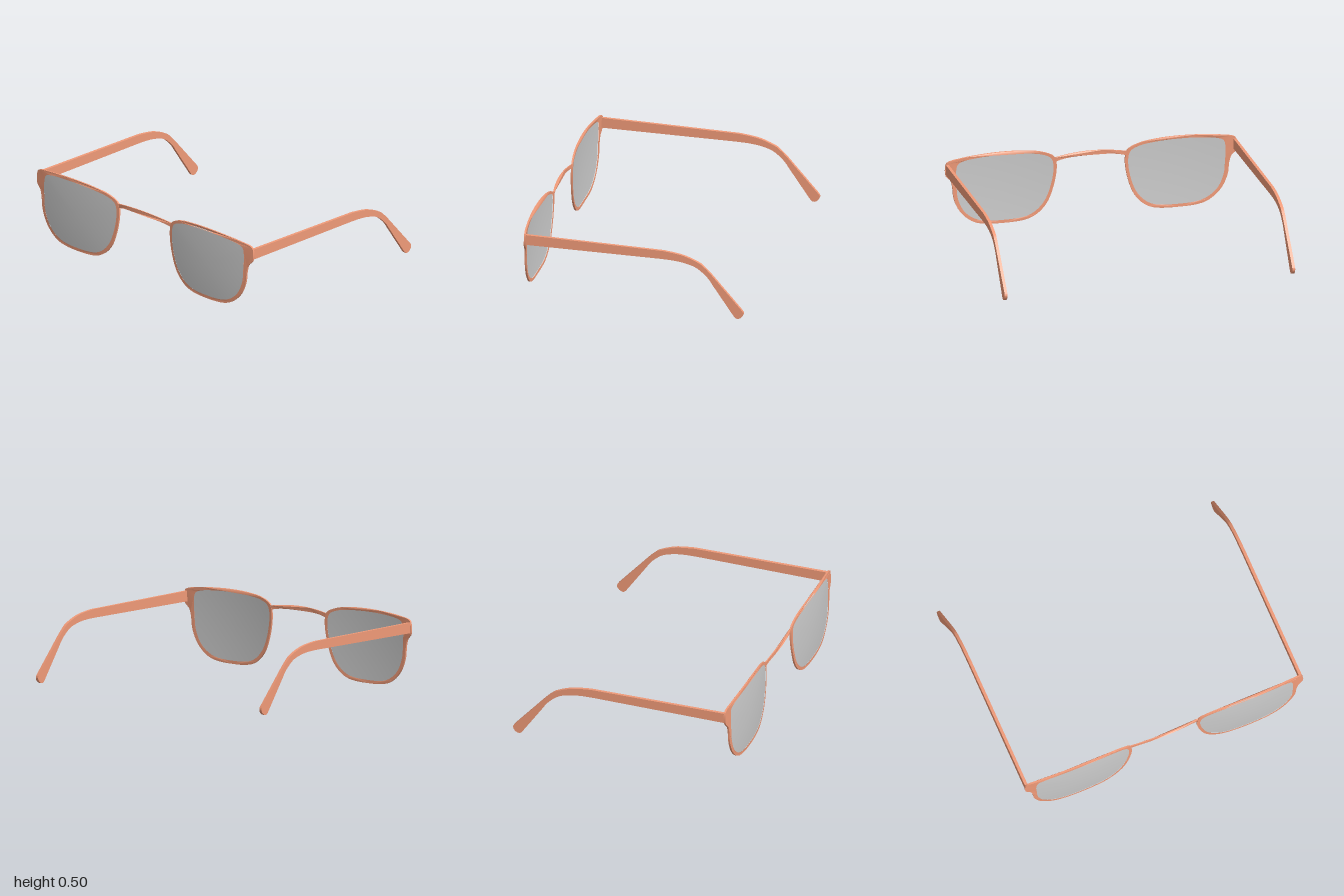
import * as THREE from 'three';
import { toCreasedNormals } from 'three/addons/utils/BufferGeometryUtils.js';

const frameMat = new THREE.MeshStandardMaterial({ color: 0xf09a78 });
const lensMat = new THREE.MeshStandardMaterial({ color: 0xcccccc });

// Control points of the left rim: outer edge and lens opening
const OUTER = [[0.235, 0.38], [0.25, 0.44], [0.33, 0.478], [0.46, 0.496], [0.6, 0.501], [0.75, 0.497],
  [0.89, 0.486], [0.982, 0.471], [0.998, 0.455], [0.999, 0.375], [0.965, 0.335], [0.952, 0.29], [0.94, 0.2],
  [0.89, 0.1], [0.79, 0.023], [0.6, 0.001], [0.41, 0.023], [0.31, 0.105], [0.253, 0.245]];
const INNER = [[0.257, 0.38], [0.275, 0.433], [0.34, 0.462], [0.46, 0.477], [0.6, 0.482], [0.75, 0.478],
  [0.865, 0.466], [0.912, 0.448], [0.926, 0.4], [0.923, 0.3], [0.912, 0.2], [0.865, 0.105], [0.77, 0.04],
  [0.6, 0.022], [0.42, 0.043], [0.327, 0.12], [0.274, 0.245]];

const CX = 0.6, CY = 0.25;
const lensBow = (x, y) => 0.765 - 0.155 * (Math.abs(x) - CX) ** 2 - 0.1 * (y - CY) ** 2;
const bridgeBow = (x) => 0.757 - 0.3 * x * x;

// Smooth closed outline, mirrored for the other side
function outline(points, side, n = 120) {
  const curve = new THREE.CatmullRomCurve3(points.map(([x, y]) => new THREE.Vector3(x, y, 0)), true);
  const pts = curve.getPoints(n).slice(0, n).map((p) => new THREE.Vector2(p.x * side, p.y));
  return side < 0 ? pts.reverse() : pts;
}

// Extrude a flat shape and bend it so that its front face follows bow(x, y)
function bentPlate(shape, depth, bow) {
  const geo = new THREE.ExtrudeGeometry(shape, { depth, bevelEnabled: false, curveSegments: 16 });
  const pos = geo.attributes.position;
  for (let i = 0; i < pos.count; i++) {
    pos.setZ(i, pos.getZ(i) - depth + bow(pos.getX(i), pos.getY(i)));
  }
  return toCreasedNormals(geo, 0.6);
}

function add(group, name, geometry, material) {
  const mesh = new THREE.Mesh(geometry, material);
  mesh.name = name;
  group.add(mesh);
}

function rimGeometry(side) {
  const shape = new THREE.Shape(outline(OUTER, side));
  shape.holes.push(new THREE.Path(outline(INNER, side)));
  return bentPlate(shape, 0.012, lensBow);
}

// Domed lens: concentric rings out over the front, then back in behind
function lensGeometry(side) {
  const edge = outline(INNER, side, 96), n = edge.length, steps = 8, cx = CX * side;
  const positions = [], index = [];
  for (let r = 0; r <= 2 * steps + 1; r++) {
    const front = r <= steps;
    const s = 1.01 * (front ? r : 2 * steps + 1 - r) / steps;
    for (const p of edge) {
      const x = cx + (p.x - cx) * s, y = CY + (p.y - CY) * s;
      positions.push(x, y, lensBow(x, y) + (front ? 0.003 * (1 - s * s) - 0.003 : -0.008));
    }
  }
  for (let r = 0; r < 2 * steps + 1; r++) {
    for (let i = 0; i < n; i++) {
      const a = r * n + i, b = r * n + (i + 1) % n, c = a + n, d = b + n;
      // The outline runs clockwise, seen from the front
      index.push(a, b, c, b, d, c);
    }
  }
  const geo = new THREE.BufferGeometry();
  geo.setAttribute('position', new THREE.Float32BufferAttribute(positions, 3));
  geo.setIndex(index);
  return toCreasedNormals(geo, 0.6);
}

// Temple arm drawn in profile (u runs backward), then turned to lie along z
function templeGeometry(side) {
  const v = (list) => list.map(([u, y]) => new THREE.Vector2(u, y));
  const shape = new THREE.Shape();
  shape.moveTo(-0.735, 0.382);
  shape.lineTo(0.2, 0.386);
  shape.splineThru(v([[0.29, 0.383], [0.37, 0.372], [0.45, 0.345], [0.52, 0.287], [0.56, 0.232]]));
  shape.lineTo(0.7, 0.03);
  shape.splineThru(v([[0.713, 0.015], [0.73, 0.01], [0.75, 0.018], [0.765, 0.036], [0.768, 0.054], [0.76, 0.07]]));
  shape.lineTo(0.6, 0.25);
  shape.splineThru(v([[0.553, 0.303], [0.507, 0.35], [0.46, 0.385], [0.35, 0.426], [0.22, 0.444]]));
  shape.lineTo(-0.735, 0.453);
  const geo = new THREE.ExtrudeGeometry(shape, { depth: 0.02, bevelEnabled: false, curveSegments: 6 });
  geo.rotateY(Math.PI / 2);
  geo.translate(side > 0 ? 0.979 : -0.999, 0, 0);
  return toCreasedNormals(geo, 0.6);
}

// Slim arched bridge between the rims
function bridgeGeometry() {
  const n = 24, half = 0.246, top = [], bottom = [];
  for (let i = 0; i <= n; i++) {
    const t = (i / n) * 2 - 1, x = t * half;
    top.push(new THREE.Vector2(x, 0.453 - 0.02 * t * t));
    bottom.push(new THREE.Vector2(x, 0.423 - 0.02 * t ** 4));
  }
  return bentPlate(new THREE.Shape([...bottom, ...top.reverse()]), 0.008, bridgeBow);
}

export function createModel() {
  const glasses = new THREE.Group();
  glasses.name = 'glasses';
  for (const [side, label] of [[1, 'left'], [-1, 'right']]) {
    add(glasses, label + 'Rim', rimGeometry(side), frameMat);
    add(glasses, label + 'Lens', lensGeometry(side), lensMat);
    add(glasses, label + 'Temple', templeGeometry(side), frameMat);
  }
  add(glasses, 'bridge', bridgeGeometry(), frameMat);
  return glasses;
}
